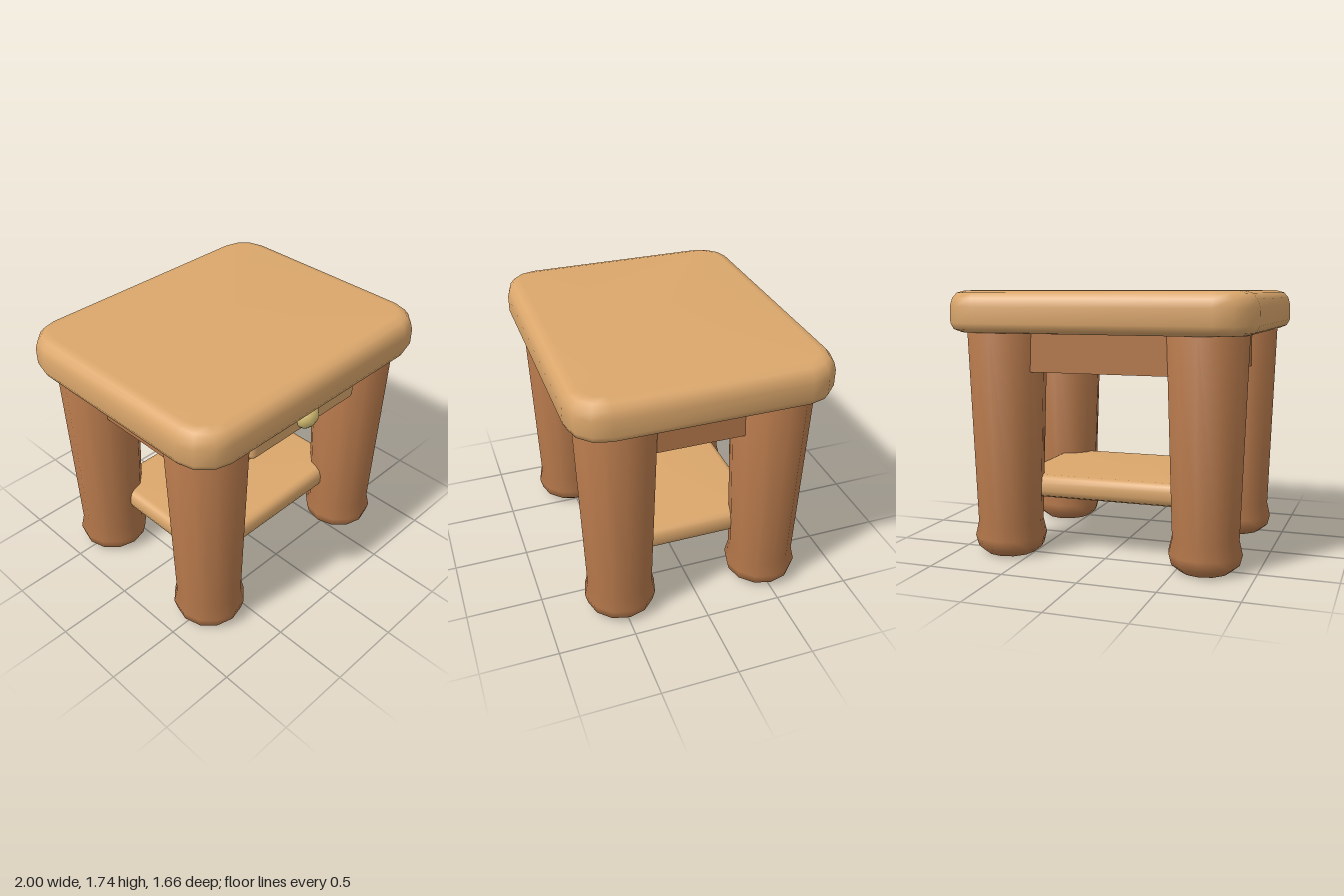
import * as THREE from 'three';
import { RoundedBoxGeometry } from 'three/addons/geometries/RoundedBoxGeometry.js';

const lightWood = new THREE.MeshStandardMaterial({ color: 0xdba76c });
const darkWood = new THREE.MeshStandardMaterial({ color: 0xb5784b });
const brass = new THREE.MeshStandardMaterial({ color: 0xdcc577 });

// Rounded rectangular slab lofted through a profile of [inset, y] points, bottom to top
function slabGeometry(halfX, halfZ, radius, profile, steps = 3) {
  const pos = [], index = [];
  const n = 4 * (steps + 1);
  for (const [inset, y] of profile) {
    const r = radius - inset;
    for (let q = 0; q < 4; q++) {
      const sx = q === 0 || q === 3 ? 1 : -1;
      const sz = q < 2 ? 1 : -1;
      for (let s = 0; s <= steps; s++) {
        const a = (q + s / steps) * Math.PI / 2;
        pos.push(sx * (halfX - radius) + r * Math.cos(a), y, sz * (halfZ - radius) + r * Math.sin(a));
      }
    }
  }
  const rings = profile.length;
  for (let k = 0; k < rings - 1; k++) {
    for (let i = 0; i < n; i++) {
      const j = (i + 1) % n, lo = k * n, hi = lo + n;
      index.push(lo + i, hi + i, lo + j, lo + j, hi + i, hi + j);
    }
  }
  // Bottom and top caps
  const bottom = rings * n, top = bottom + 1, last = (rings - 1) * n;
  pos.push(0, profile[0][1], 0, 0, profile[rings - 1][1], 0);
  for (let i = 0; i < n; i++) {
    const j = (i + 1) % n;
    index.push(bottom, i, j, top, last + j, last + i);
  }
  const geometry = new THREE.BufferGeometry();
  geometry.setAttribute('position', new THREE.Float32BufferAttribute(pos, 3));
  geometry.setIndex(index);
  geometry.computeVertexNormals();
  return geometry;
}

export function createModel() {
  const model = new THREE.Group();
  model.name = 'sideTable';

  const add = (name, geometry, material, x = 0, y = 0, z = 0) => {
    const mesh = new THREE.Mesh(geometry, material);
    mesh.name = name;
    mesh.position.set(x, y, z);
    model.add(mesh);
    return mesh;
  };

  // Thick table top with softened edges
  add('tableTop', slabGeometry(1, 0.83, 0.23, [
    [0.07, 1.47], [0.02, 1.49], [0, 1.53], [0, 1.635], [0.015, 1.685], [0.045, 1.72], [0.1, 1.735],
  ]), lightWood);

  // Four tapered legs with bulging feet
  const legProfile = [
    [0, 0], [0.165, 0], [0.22, 0.045], [0.238, 0.115], [0.216, 0.21], [0.26, 1.5], [0, 1.5],
  ].map(([r, y]) => new THREE.Vector2(r, y));
  const legGeometry = new THREE.LatheGeometry(legProfile, 12);
  for (const [end, sz] of [['front', 1], ['back', -1]]) {
    for (const [side, sx] of [['Left', 1], ['Right', -1]]) {
      add(`${end}${side}Leg`, legGeometry, darkWood, sx * 0.67, 0, sz * 0.503);
    }
  }

  // Drawer case under the top
  add('drawerCase', new THREE.BoxGeometry(1.58, 0.27, 1.26), darkWood, 0, 1.355, 0);

  // Drawer front and knob
  add('drawerFront', new RoundedBoxGeometry(0.96, 0.21, 0.1, 3, 0.04), lightWood, 0, 1.355, 0.64);
  const knob = add('drawerKnob', new THREE.SphereGeometry(0.09, 12, 10), brass, 0, 1.355, 0.68);
  knob.scale.z = 0.92;

  // Lower shelf running between the legs
  add('shelf', slabGeometry(0.67, 0.5, 0.12, [
    [0.05, 0.37], [0.015, 0.385], [0, 0.42], [0, 0.47], [0.015, 0.505], [0.05, 0.52],
  ]), lightWood);

  return model;
}
